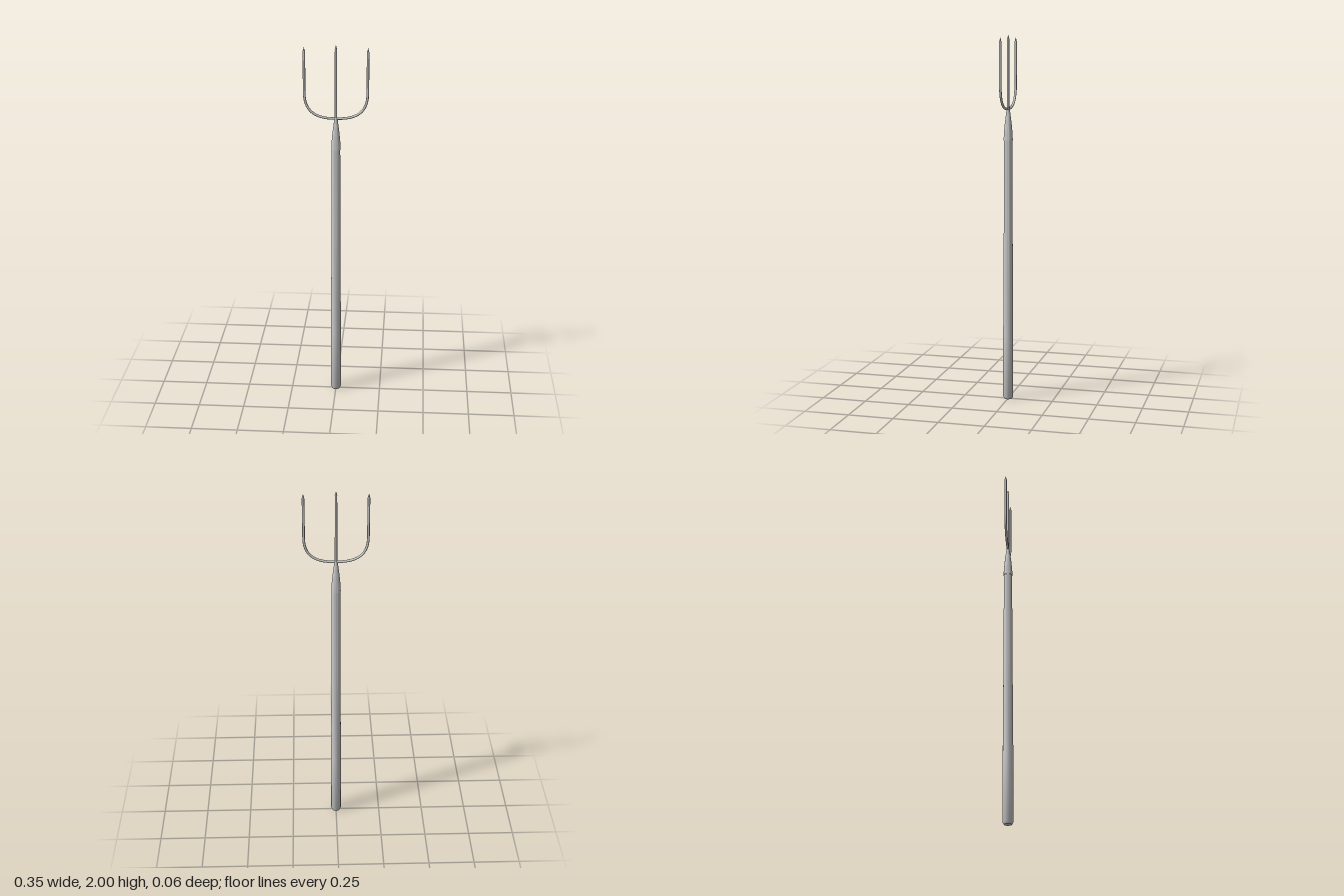
import * as THREE from 'three';
import { toCreasedNormals } from 'three/addons/utils/BufferGeometryUtils.js';

const material = new THREE.MeshStandardMaterial({ color: 0xcccccc });
const TINE_RADIUS = 0.0068;
const TIP_LENGTH = 0.025;

function addMesh(parent, name, geometry) {
  const mesh = new THREE.Mesh(geometry, material);
  mesh.name = name;
  parent.add(mesh);
  return mesh;
}

// Turned part from [radius, height] pairs, bottom to top
function turned(profile, sides) {
  const points = profile.map(([r, y]) => new THREE.Vector2(r, y));
  return toCreasedNormals(new THREE.LatheGeometry(points, sides), 0.6);
}

// Pointed end of a tine, finishing at height top
function addTip(parent, name, x, top) {
  const tip = addMesh(parent, name, new THREE.ConeGeometry(TINE_RADIUS, TIP_LENGTH, 8, 1, true));
  tip.position.set(x, top - TIP_LENGTH / 2, 0);
}

export function createModel() {
  const model = new THREE.Group();
  model.name = 'hayFork';

  // Wooden shaft, thicker towards the chamfered butt
  addMesh(model, 'shaft', turned([
    [0, 0], [0.022, 0], [0.028, 0.012], [0.028, 0.36],
    [0.0245, 0.95], [0.0228, 1.45], [0, 1.45],
  ], 16));

  // Metal socket tapering into the fork
  addMesh(model, 'socket', turned([
    [0.0228, 1.438], [0.025, 1.438], [0.0235, 1.475], [0.0185, 1.53],
    [0.012, 1.58], [0.008, 1.612], [0, 1.618],
  ], 16));

  // Straight middle tine
  const shoulder = 2 - TIP_LENGTH;
  const middle = addMesh(model, 'middleTine',
    new THREE.CylinderGeometry(TINE_RADIUS * 0.9, TINE_RADIUS, shoulder - 1.59, 8, 1, true));
  middle.position.y = (shoulder + 1.59) / 2;
  addTip(model, 'middleTip', 0, 2);

  // Curved outer tines
  const outerTop = 1.987;
  for (const [side, name] of [[1, 'left'], [-1, 'right']]) {
    const at = (x, y) => new THREE.Vector3(side * x, y, 0);
    const path = new THREE.CurvePath();
    path.add(new THREE.LineCurve3(at(0, 1.608), at(0.025, 1.608)));
    path.add(new THREE.CubicBezierCurve3(
      at(0.025, 1.608), at(0.115, 1.612), at(0.166, 1.65), at(0.166, 1.745)));
    path.add(new THREE.LineCurve3(at(0.166, 1.745), at(0.166, outerTop - TIP_LENGTH)));
    addMesh(model, name + 'Tine', new THREE.TubeGeometry(path, 40, TINE_RADIUS, 8, false));
    addTip(model, name + 'Tip', side * 0.166, outerTop);
  }

  return model;
}
